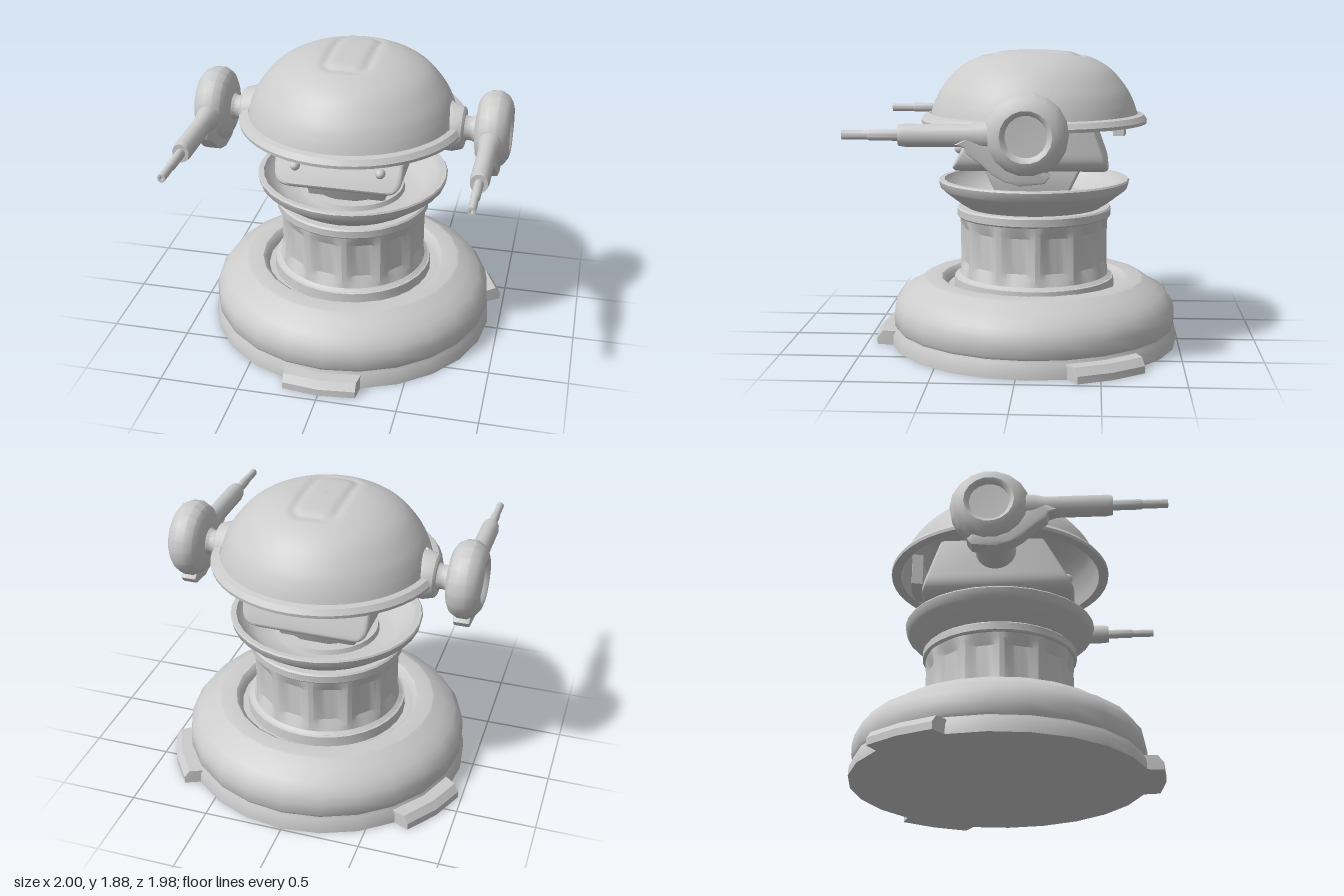
import * as THREE from 'three';
import { toCreasedNormals } from 'three/addons/utils/BufferGeometryUtils.js';
import { ParametricGeometry } from 'three/addons/geometries/ParametricGeometry.js';

const grey = new THREE.MeshStandardMaterial({ color: 0xcccccc });
const greyShell = new THREE.MeshStandardMaterial({ color: 0xcccccc, side: THREE.DoubleSide });
const CZ = -0.065; // z of the vertical axis

function add(group, name, geometry, material = grey) {
  const mesh = new THREE.Mesh(geometry, material);
  mesh.name = name;
  group.add(mesh);
  return mesh;
}

const points = (list) => list.map(([a, b]) => new THREE.Vector2(a, b));

function lathe(profile, sides = 24, start = 0, sweep = Math.PI * 2) {
  return toCreasedNormals(new THREE.LatheGeometry(points(profile), sides, start, sweep), 0.6);
}

// A [z, y] outline extruded across x, centred on x = 0
function sideExtrude(outline, width, bevel = 0) {
  const g = new THREE.ExtrudeGeometry(new THREE.Shape(points(outline)), {
    depth: width - 2 * bevel, bevelEnabled: bevel > 0, bevelSize: bevel, bevelThickness: bevel,
    bevelOffset: -bevel, bevelSegments: 2,
  });
  g.translate(0, 0, -(width / 2 - bevel));
  g.rotateY(-Math.PI / 2);
  return toCreasedNormals(g, 0.6);
}

// Foot block on the base, pointing to +z, with its upper outer edge sloped in
function footGeometry() {
  const shape = new THREE.Shape(points([[-0.24, -0.8], [0.24, -0.8], [0.24, -0.9], [0.23, -0.995], [0, -1.02], [-0.23, -0.995], [-0.24, -0.9]].reverse()));
  const g = new THREE.ExtrudeGeometry(shape, { depth: 0.09, steps: 2, bevelEnabled: false });
  g.rotateX(-Math.PI / 2);
  const p = g.attributes.position;
  for (let i = 0; i < p.count; i++) {
    if (p.getY(i) > 0.08 && p.getZ(i) > 0.95) p.setZ(i, p.getZ(i) - 0.035);
  }
  return toCreasedNormals(g, 0.4);
}

// Column with twelve shallow scalloped flutes
function columnGeometry() {
  const rows = [[0.51, 0.4], [0.5, 0.43], [0.478, 0.445], [0.478, 0.48], [0.478, 0.52], [0.478, 0.74], [0.478, 0.78], [0.478, 0.83]];
  const g = new THREE.LatheGeometry(points(rows), 96);
  const p = g.attributes.position;
  for (let i = 0; i < p.count; i++) {
    const x = p.getX(i), y = p.getY(i), z = p.getZ(i);
    const mask = THREE.MathUtils.smoothstep(y, 0.445, 0.52) * (1 - THREE.MathUtils.smoothstep(y, 0.74, 0.82));
    const wave = Math.abs(Math.sin(6 * (Math.atan2(x, z) - 0.09)));
    const k = 1 - 0.07 * mask * Math.min(1, wave * 1.15);
    p.setXYZ(i, x * k, y, z * k);
  }
  return toCreasedNormals(g, 0.3);
}

// Dome shell: arched openings on both sides, a soft groove on the crown
function domeGeometry() {
  const curve = new THREE.SplineCurve(points([[0.66, 1.465], [0.632, 1.55], [0.585, 1.64], [0.49, 1.752], [0.375, 1.822], [0.25, 1.86], [0.12, 1.872], [0.002, 1.875]]));
  const startAt = (phi) => {
    const dz = 0.65 * Math.cos(phi);
    if (Math.abs(dz) > 0.165) return 0;
    const y0 = 1.42 + Math.sqrt(0.165 ** 2 - dz * dz);
    let t = 0;
    while (curve.getPoint(t).y < y0) t += 0.003;
    return t;
  };
  return new ParametricGeometry((u, v, out) => {
    const phi = u * Math.PI * 2;
    const t0 = startAt(phi);
    const c = curve.getPoint(Math.min(1, t0 + (1 - t0) * v));
    const x = c.x * Math.sin(phi), z = c.x * Math.cos(phi);
    // distance to a rounded rectangle outline
    const qx = Math.abs(x) - 0.05, qz = Math.abs(z + 0.01) - 0.2;
    const d = Math.hypot(Math.max(qx, 0), Math.max(qz, 0)) + Math.min(Math.max(qx, qz), 0) - 0.08;
    out.set(x, c.y - 0.012 * Math.exp(-((d / 0.03) ** 2)), z);
  }, 96, 44);
}

// Head block: rounded lower corners, front and back leaning inwards
function headGeometry() {
  const s = new THREE.Shape();
  s.moveTo(-0.4, 1.5);
  s.lineTo(-0.4, 1.26);
  s.bezierCurveTo(-0.4, 1.18, -0.36, 1.14, -0.28, 1.14);
  s.lineTo(0.28, 1.14);
  s.bezierCurveTo(0.36, 1.14, 0.4, 1.18, 0.4, 1.26);
  s.lineTo(0.4, 1.5);
  const bevel = 0.03;
  const g = new THREE.ExtrudeGeometry(s, { depth: 1 - 2 * bevel, bevelSize: bevel, bevelThickness: bevel, bevelOffset: -bevel, bevelSegments: 3, curveSegments: 10 });
  g.translate(0, 0, bevel - 0.5);
  const p = g.attributes.position;
  for (let i = 0; i < p.count; i++) {
    const k = Math.max(0, p.getY(i) - 1.17);
    const f = p.getZ(i) + 0.5;
    p.setZ(i, THREE.MathUtils.lerp(-0.54 + 0.36 * k, 0.425 - 0.55 * k, f));
  }
  return toCreasedNormals(g, 0.6);
}

// Shoulder, round hub and forward tool; s = 1 for left, -1 for right
function createArm(s) {
  const arm = new THREE.Group();
  arm.name = s > 0 ? 'leftArm' : 'rightArm';
  const outward = (profile, sides) => lathe(profile, sides).rotateZ(-s * Math.PI / 2);

  const shoulder = add(arm, 'shoulder', outward([[0, 0.3], [0.13, 0.3], [0.13, 0.575], [0.15, 0.595], [0.152, 0.64], [0.135, 0.7], [0.12, 0.712], [0.085, 0.712], [0.075, 0.73], [0.075, 0.76], [0.1, 0.8]], 20));
  shoulder.position.set(0, 1.42, CZ);
  const hub = add(arm, 'hub', outward([[0, 0.78], [0.1, 0.78], [0.17, 0.79], [0.215, 0.815], [0.24, 0.86], [0.24, 0.92], [0.215, 0.965], [0.18, 0.99], [0.15, 1], [0.135, 0.993], [0.12, 0.97], [0, 0.965]], 18));
  hub.position.set(0, 1.43, CZ);

  const guard = add(arm, 'hubGuard', sideExtrude([[0.34, 1.38], [0.285, 1.36], [0.275, 1.33], [0.2, 1.275], [0.13, 1.21], [0.06, 1.17], [-0.03, 1.145], [-0.17, 1.16], [-0.2, 1.2], [-0.1, 1.3], [0.05, 1.48], [0.2, 1.46]], 0.105, 0.012));
  guard.position.x = s * 0.89;

  const tool = add(arm, 'toolBody', lathe([[0.09, 0.08], [0.08, 0.2], [0.066, 0.27], [0.066, 0.63], [0.06, 0.665], [0.032, 0.665], [0.032, 0.83], [0.027, 0.84], [0.027, 0.99], [0.013, 0.99], [0.013, 0.96], [0, 0.96]], 14).rotateX(Math.PI / 2));
  tool.scale.x = 0.87;
  tool.position.set(s * 0.887, 1.427, 0);
  return arm;
}

export function createModel() {
  const model = new THREE.Group();
  model.name = 'robot';
  const body = new THREE.Group(); // everything turned about the vertical axis
  body.name = 'body';
  body.position.z = CZ;
  model.add(body);

  // Base with recessed well and three feet
  add(body, 'base', lathe([[0, 0], [0.925, 0], [0.922, 0.06], [0.905, 0.095], [0.9, 0.11], [0.912, 0.13], [0.912, 0.2], [0.9, 0.26], [0.875, 0.29], [0.85, 0.33], [0.78, 0.365], [0.715, 0.415], [0.7, 0.42], [0.6, 0.42], [0.575, 0.4], [0.56, 0.36], [0.4, 0.36]]));
  for (let i = 0; i < 3; i++) {
    add(body, 'foot', footGeometry()).rotation.y = i * Math.PI * 2 / 3;
  }

  // Column, collar and open bowl
  add(body, 'column', columnGeometry());
  add(body, 'columnFoot', lathe([[0.52, 0.355], [0.515, 0.425], [0.47, 0.44]], 32));
  add(body, 'collar', lathe([[0.4, 0.815], [0.485, 0.815], [0.495, 0.825], [0.495, 0.87], [0.485, 0.88], [0.4, 0.88]], 32));
  add(body, 'bowl', lathe([[0.43, 0.87], [0.44, 0.885], [0.475, 0.905], [0.585, 0.99], [0.6, 1.005], [0.612, 1.05], [0.605, 1.06], [0.575, 1.06], [0.555, 1.02], [0.45, 0.94], [0.34, 0.93], [0.33, 0.96], [0.26, 0.96], [0.25, 0.93], [0, 0.93]], 32));

  // Neck widening upwards from front to back
  add(model, 'neck', sideExtrude([[0.13, 0.92], [-0.26, 0.92], [-0.38, 1.17], [0.25, 1.17]].reverse(), 0.5, 0.02));

  // Head
  add(model, 'head', headGeometry());
  for (const s of [1, -1]) {
    const eye = add(model, s > 0 ? 'leftEye' : 'rightEye', new THREE.SphereGeometry(0.031, 14, 10));
    eye.position.set(s * 0.265, 1.275, 0.38);
    eye.scale.z = 1.2;
  }

  // Dome with a rim split around the shoulders
  add(body, 'dome', domeGeometry(), greyShell);
  const gap = 0.232;
  for (const start of [-Math.PI / 2 + gap, Math.PI / 2 + gap]) {
    add(body, 'domeRim', lathe([[0.64, 1.48], [0.655, 1.42], [0.715, 1.42], [0.718, 1.44], [0.695, 1.472], [0.66, 1.48]], 22, start, Math.PI - 2 * gap), greyShell);
    for (const end of [start, start + Math.PI - 2 * gap]) {
      const cap = add(body, 'rimEnd', new THREE.ShapeGeometry(new THREE.Shape(points([[0.64, 1.48], [0.655, 1.42], [0.715, 1.42], [0.718, 1.44], [0.695, 1.472]]))), greyShell);
      cap.rotation.y = end - Math.PI / 2;
    }
  }

  // Curved bracket under the back of the dome
  add(body, 'backBracket', lathe([[0.515, 1.56], [0.515, 1.345], [0.585, 1.345], [0.585, 1.56]], 6, Math.PI - 0.24, 0.48), greyShell);
  for (const s of [1, -1]) {
    const end = add(body, 'bracketEnd', new THREE.PlaneGeometry(0.07, 0.215), greyShell);
    const a = Math.PI + s * 0.24;
    end.position.set(0.55 * Math.sin(a), 1.4525, 0.55 * Math.cos(a));
    end.rotation.y = a - Math.PI / 2;
  }

  model.add(createArm(1), createArm(-1));
  return model;
}
